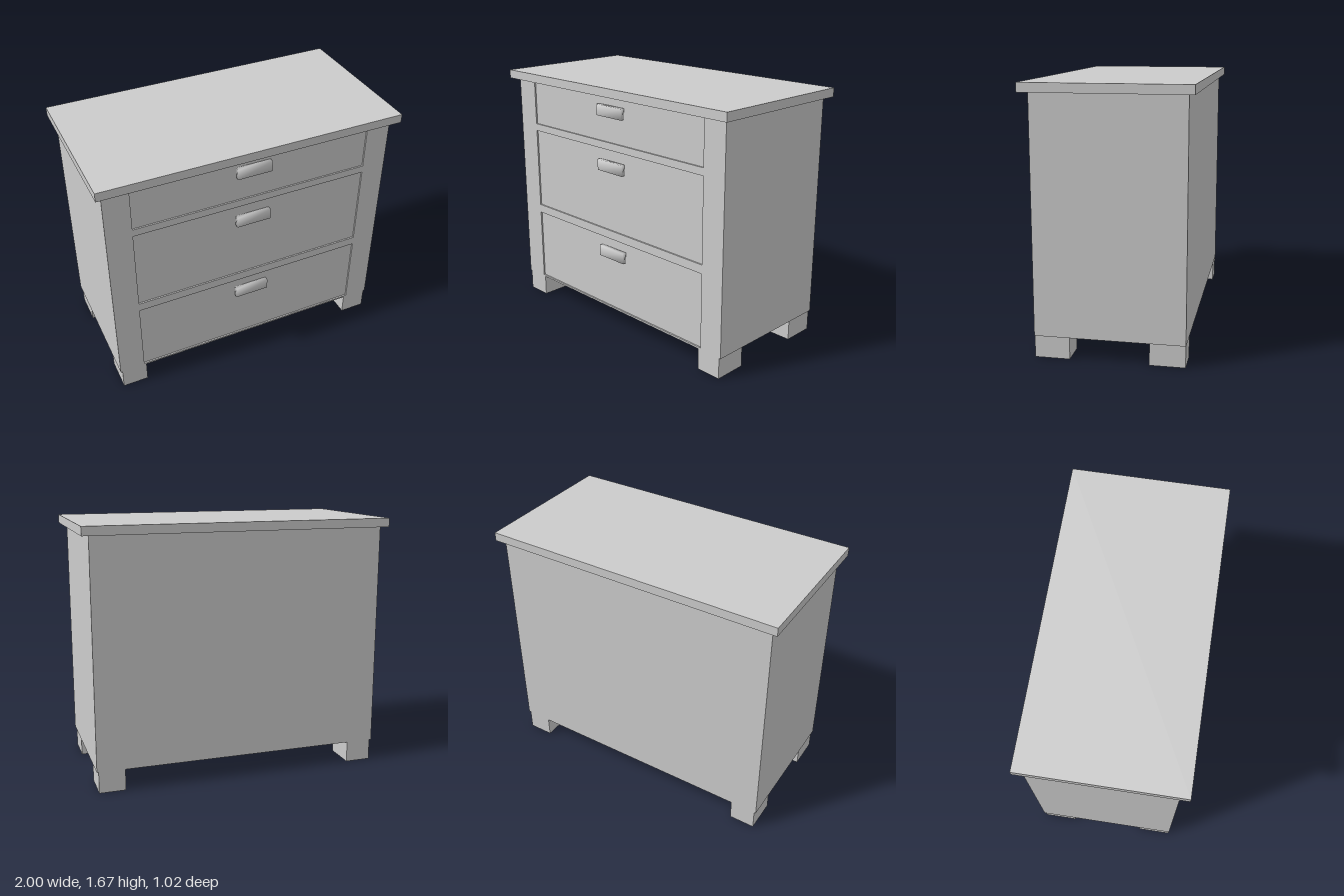
import * as THREE from 'three';
import { mergeVertices } from 'three/addons/utils/BufferGeometryUtils.js';

const grey = new THREE.MeshStandardMaterial({ color: 0xcccccc });
grey.name = 'grey';

// Box given by its limits on each axis
function box(name, [x0, x1], [y0, y1], [z0, z1], smooth = false) {
  let geometry = new THREE.BoxGeometry(x1 - x0, y1 - y0, z1 - z0);
  if (smooth) {
    // share the corners so the shading rolls softly over the edges
    geometry.deleteAttribute('normal');
    geometry.deleteAttribute('uv');
    geometry = mergeVertices(geometry);
    geometry.computeVertexNormals();
  }
  const mesh = new THREE.Mesh(geometry, grey);
  mesh.name = name;
  mesh.position.set((x0 + x1) / 2, (y0 + y1) / 2, (z0 + z1) / 2);
  return mesh;
}

export function createModel() {
  const model = new THREE.Group();
  model.name = 'chestOfDrawers';

  const left = 0.953, right = -0.957, inner = 0.79;
  const bottom = 0.14, top = 1.61;
  const back = -0.47, front = 0.455, recess = 0.445;

  // Overhanging top and the carcass behind the drawers
  model.add(box('tabletop', [-1, 1], [top, 1.667], [-0.508, 0.508]));
  model.add(box('carcass', [right, left], [bottom, top], [back, 0.42]));

  // Front posts and the rails between the drawers
  model.add(box('leftPost', [inner, left], [bottom, top], [0.42, front]));
  model.add(box('rightPost', [right, -inner], [bottom, top], [0.42, front]));
  for (const rail of [[bottom, 0.152], [0.647, 0.705], [1.256, 1.305]]) {
    model.add(box('rail', [-inner, inner], rail, [0.42, front]));
  }

  // Slightly recessed drawers, each with a handle
  const drawers = [
    { span: [0.152, 0.647], handle: 0.548 },
    { span: [0.705, 1.256], handle: 1.147 },
    { span: [1.305, top], handle: 1.51 },
  ];
  for (const { span, handle } of drawers) {
    const drawer = new THREE.Group();
    drawer.name = 'drawer';
    drawer.add(box('drawerFront', [-inner, inner], span, [0.42, recess]));
    drawer.add(box('handle', [-0.116, 0.113], [handle - 0.036, handle + 0.036], [0.44, 0.474], true));
    model.add(drawer);
  }

  // Four block feet
  for (const x of [[-0.945, -0.775], [0.772, 0.942]]) {
    for (const z of [[0.238, front], [back + 0.002, -0.25]]) {
      model.add(box('foot', x, [0, bottom], z));
    }
  }
  return model;
}
